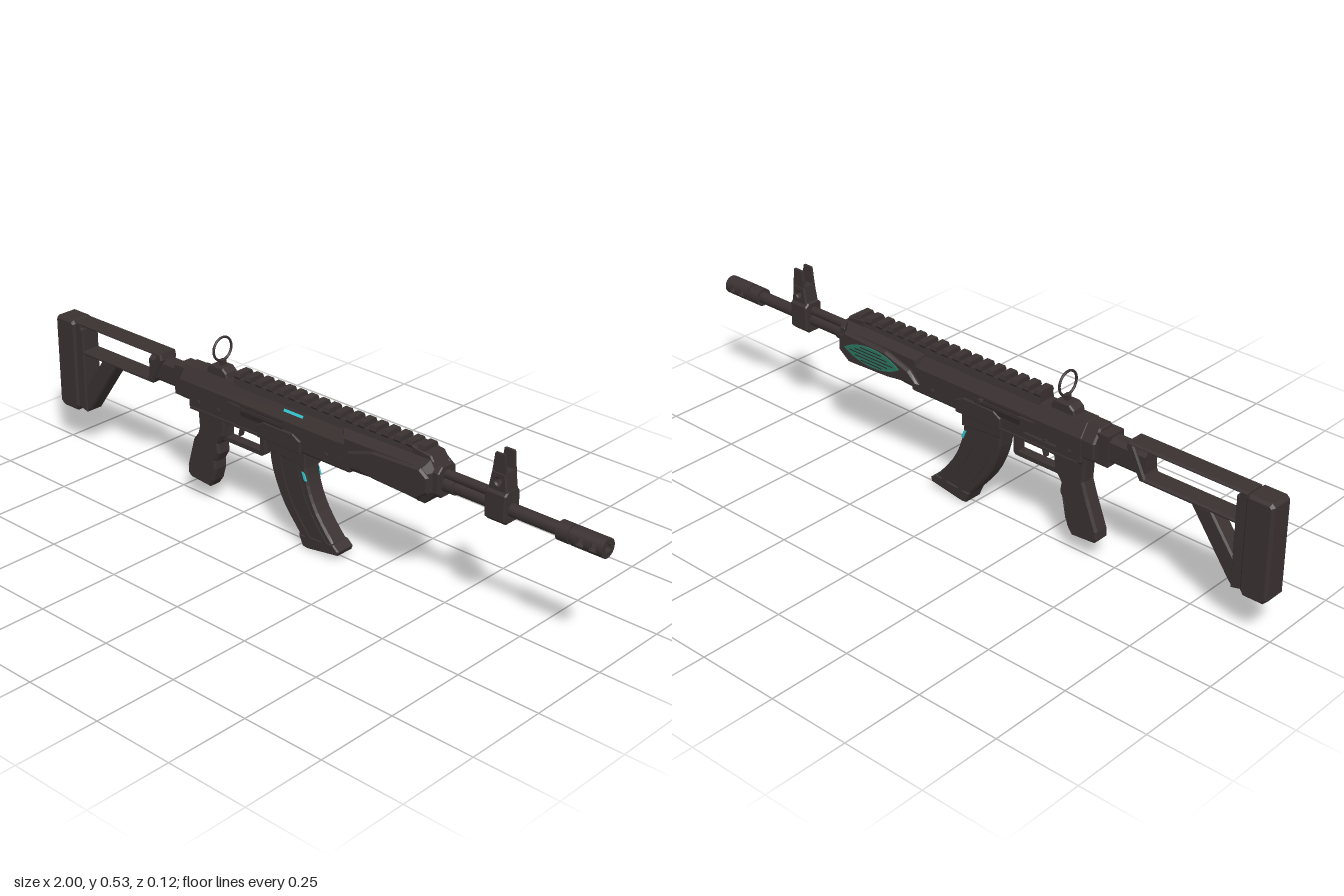
import * as THREE from 'three';

export function createModel() {
  const root = new THREE.Group();
  const body = new THREE.MeshStandardMaterial({ name: 'dark gunmetal', color: 0x3a3131 });
  const dark = new THREE.MeshStandardMaterial({ name: 'dark recess', color: 0x2c2526 });
  const cyan = new THREE.MeshStandardMaterial({ name: 'cyan light', color: 0x2fc4cc });
  const green = new THREE.MeshStandardMaterial({ name: 'green glass', color: 0x2a7560 });
  const CZ = 0.004; // centre plane of the body

  function add(name, geo, mat = body, x = 0, y = 0, z = CZ) {
    const m = new THREE.Mesh(geo, mat);
    m.name = name;
    m.position.set(x, y, z);
    root.add(m);
    return m;
  }
  const box = (name, x0, x1, y0, y1, w, mat = body, z = CZ) =>
    add(name, new THREE.BoxGeometry(x1 - x0, y1 - y0, w), mat, (x0 + x1) / 2, (y0 + y1) / 2, z);
  const toShape = (pts) => new THREE.Shape(pts.map((p) => new THREE.Vector2(p[0], p[1])));
  function extrude(shape, depth, bevel) {
    const g = new THREE.ExtrudeGeometry(shape, {
      depth: depth - 2 * bevel, bevelEnabled: bevel > 0, bevelThickness: bevel,
      bevelSize: bevel, bevelOffset: -bevel, bevelSegments: 1, curveSegments: 12,
    });
    return g.translate(0, 0, -depth / 2 + bevel);
  }
  // side profile in x and y, given a width in z
  function plate(name, pts, depth, { bevel = 0, holes = [], z = CZ, mat = body } = {}) {
    const s = toShape(pts);
    holes.forEach((h) => s.holes.push(h instanceof THREE.Path ? h : toShape(h)));
    return add(name, extrude(s, depth, bevel), mat, 0, 0, z);
  }
  // cross-section in z and y, run along x
  function prism(name, pts, x0, x1, bevel = 0, mat = body) {
    const g = extrude(toShape(pts), x1 - x0, bevel).rotateY(Math.PI / 2);
    return add(name, g, mat, (x0 + x1) / 2);
  }
  const octagon = (w, y0, y1, c) => [[-w + c, y0], [w - c, y0], [w, y0 + c], [w, y1 - c],
    [w - c, y1], [-w + c, y1], [-w, y1 - c], [-w, y0 + c]];
  const rod = (name, x0, x1, y, r, r2 = r, sides = 24, mat = body) =>
    add(name, new THREE.CylinderGeometry(r2, r, x1 - x0, sides).rotateZ(-Math.PI / 2), mat, (x0 + x1) / 2, y);
  const circle = (x, y, r) => new THREE.Path().absarc(x, y, r, 0, Math.PI * 2);

  // Stock: butt pad, backing, hollow frame and strut
  plate('buttPad', [[-1, .14], [-.985, .125], [-.925, .125], [-.915, .14], [-.915, .41], [-.925, .42], [-.99, .42], [-1, .41]], .076, { bevel: .008 });
  plate('buttBacking', [[-.925, .14], [-.885, .13], [-.885, .4], [-.925, .41]], .062, { bevel: .004 });
  plate('stockFrame', [[-.92, .318], [-.585, .318], [-.54, .4], [-.545, .42], [-.92, .42]], .062,
    { bevel: .005, holes: [[[-.893, .331], [-.605, .331], [-.565, .409], [-.893, .409]]] });
  plate('stockStrut', [[-.89, .13], [-.875, .138], [-.745, .32], [-.81, .32], [-.89, .21]], .05, { bevel: .005 });
  prism('stockTube', octagon(.025, .327, .402, .012), -.6, -.44);
  box('stockHinge', -.485, -.445, .318, .408, .064);

  // Receiver with sloped shoulders
  const section = [[-.04, .3], [.04, .3], [.05, .31], [.05, .382], [.024, .42], [-.024, .42], [-.05, .382], [-.05, .31]];
  prism('receiver', section, -.41, .2, .003);
  prism('receiverRear', section.map(([z, y]) => [z * .98, y < .35 ? y + .022 : y - .002]), -.452, -.4, .005);
  for (const s of [1, -1]) {
    const z = CZ + s * .051;
    box('receiverRib', -.4, .16, .378, .384, .006, body, z);
    box('lowerRib', -.4, -.02, .305, .311, .008, body, z);
    plate('magazineWellCheek', [[-.135, .302], [.03, .302], [.03, .34], [.0, .355], [-.11, .355], [-.135, .34]], .01, { z, bevel: .003 });
    box('sidePort', -.2, -.04, .345, .375, .004, dark, z);
    box('boltBar', -.25, -.04, .362, .372, .01, body, z);
    for (const x of [-.37, -.29, .12])
      add('pin', new THREE.CylinderGeometry(.008, .008, .008, 12).rotateX(Math.PI / 2), body, x, .33, z);
  }
  const light = box('cyanStripe', -.048, .022, .401, .409, .003, cyan, CZ + .036);
  light.rotation.x = -.6;
  add('chargingHandle', new THREE.CylinderGeometry(.009, .009, .018, 12).rotateX(Math.PI / 2), body, -.065, .37, -.053);
  box('selectorLever', -.33, -.22, .322, .332, .012, body, CZ - .053);

  // Handguard with raised side panels and a glass lens on the right
  plate('handguard', [[.165, .3], [.24, .304], [.33, .31], [.39, .299], [.45, .295], [.483, .335], [.483, .395], [.465, .425], [.165, .42]],
    .1, { bevel: .02 });
  const wing = [[.165, .335], [.29, .318], [.44, .312], [.478, .34], [.478, .385], [.45, .405], [.29, .398], [.2, .37]];
  plate('leftPanel', wing, .014, { bevel: .006, z: CZ + .05 });
  plate('rightPanel', wing, .02, { bevel: .007, z: CZ - .053 });
  const lens = new THREE.Shape();
  lens.moveTo(.235, .36);
  lens.bezierCurveTo(.29, .4, .39, .4, .45, .36);
  lens.bezierCurveTo(.39, .322, .29, .322, .235, .36);
  add('greenLens', new THREE.ExtrudeGeometry(lens, { depth: .004, bevelEnabled: false, curveSegments: 14 }), green, 0, 0, CZ - .066);
  for (let i = 0; i < 5; i++) {
    const w = .085 - Math.abs(i - 2) * .022;
    box('lensRib', .3425 - w, .3425 + w, .339 + i * .01, .3415 + i * .01, .003, dark, CZ - .0655);
  }
  add('handguardNub', new THREE.CylinderGeometry(.014, .011, .03, 12), body, .412, .297);
  prism('handguardCap', octagon(.036, .322, .412, .016), .475, .497, .003);

  // Top rail
  prism('railBase', [[-.03, .415], [.03, .415], [.024, .438], [-.024, .438]], -.25, .46);
  for (let i = 0; i < 17; i++) {
    const x = -.25 + i * .0418;
    prism('railTooth', [[-.024, .434], [.024, .434], [.028, .442], [.023, .453], [-.023, .453], [-.028, .442]], x, x + .023);
  }
  plate('railFront', [[.40, .42], [.475, .42], [.465, .437], [.4, .446]], .06, { bevel: .004 });

  // Rear ring sight
  plate('rearSightBase', [[-.365, .415], [-.28, .415], [-.285, .435], [-.3, .447], [-.345, .447], [-.36, .435]], .046, { bevel: .004 });
  box('ringFoot', -.327, -.313, .44, .463, .016);
  add('ringSight', new THREE.TorusGeometry(.0345, .0036, 8, 36).rotateY(Math.PI / 2), body, -.32, .495);

  // Barrel, gas tube and muzzle brake
  const AY = .358;
  rod('barrel', .47, .88, AY, .018);
  rod('barrelSleeve', .49, .53, AY, .022);
  rod('gasTube', .47, .66, .386, .013);
  rod('brakeCollar', .86, .896, AY, .027);
  rod('brakeNeck', .895, .906, AY, .023);
  const arc = new THREE.Shape();
  arc.absarc(0, 0, .027, .42, Math.PI - .42, false);
  arc.absarc(0, 0, .014, Math.PI - .42, .42, true);
  for (const s of [0, Math.PI])
    add('brakeShell', extrude(arc, .09, 0).rotateZ(s).rotateY(Math.PI / 2), body, .953, AY);
  const ring = new THREE.Shape();
  ring.absarc(0, 0, .027, 0, Math.PI * 2);
  ring.holes.push(circle(0, 0, .012));
  for (const [x, w] of [[.913, .018], [.953, .016], [.991, .018]])
    add('brakeRing', extrude(ring, w, 0).rotateY(Math.PI / 2), body, x, AY);

  // Front sight block, tower and posts
  prism('frontSightBlock', octagon(.031, .32, .415, .012), .642, .708, .004);
  plate('frontSightTower', [[.645, .405], [.708, .405], [.7, .462], [.656, .462]], .048, { bevel: .004, holes: [circle(.678, .434, .009)] });
  for (const s of [1, -1])
    plate('frontSightEar', [[.656, .45], [.7, .45], [.694, .512], [.664, .512]], .008, { z: CZ + s * .0185 });
  add('frontSightPin', new THREE.CylinderGeometry(.0015, .006, .045, 10), body, .678, .478);

  // Magazine
  const curve = (pts) => new THREE.CatmullRomCurve3(pts.map((p) => new THREE.Vector3(p[0], p[1], 0))).getPoints(10).map((p) => [p.x, p.y]);
  const rear = [[-.118, .31], [-.108, .22], [-.065, .12], [.008, .03]];
  const front = [[.132, .045], [.062, .135], [.03, .215], [.022, .31]];
  plate('magazine', [...curve(rear), ...curve(front)], .058, { bevel: .006 });
  plate('magazineWell', [[-.125, .305], [-.12, .262], [.028, .25], [.03, .305]], .068, { bevel: .005 });
  plate('magazineFloor', [[.0, .04], [.015, .006], [.03, .004], [.145, .022], [.15, .035], [.13, .052]], .064, { bevel: .004 });
  const between = (t) => rear.map((p, i) => {
    const f = front[3 - i];
    return [p[0] + (f[0] - p[0]) * t, p[1] + (f[1] - p[1]) * t];
  });
  for (const s of [1, -1]) {
    for (const t of [.2, .68])
      plate('magazineRib', [...curve(between(t)), ...curve(between(t + .14)).reverse()], .006, { z: CZ + s * .029 });
    plate('magazineLight', [[.012, .236], [.02, .236], [.03, .212], [.022, .212]], .004, { z: CZ + s * .0295, mat: cyan });
  }

  // Open pistol grip
  plate('grip', [[-.405, .305], [-.29, .305], [-.3, .235], [-.322, .205], [-.318, .175], [-.335, .145], [-.333, .12], [-.345, .08],
    [-.362, .056], [-.44, .062], [-.452, .075], [-.45, .1], [-.415, .19], [-.4, .235]], .05,
  { bevel: .007, holes: [[[-.43, .085], [-.365, .083], [-.35, .105], [-.333, .19], [-.345, .208], [-.398, .208], [-.412, .19], [-.438, .1]]] });

  // Trigger and guard
  plate('triggerGuard', [[-.31, .305], [-.31, .222], [-.155, .222], [-.148, .23], [-.148, .305], [-.162, .305], [-.162, .235], [-.296, .235], [-.296, .305]], .03);
  plate('trigger', [[-.265, .305], [-.238, .305], [-.24, .275], [-.248, .25], [-.256, .25], [-.25, .275]], .014);

  return root;
}
